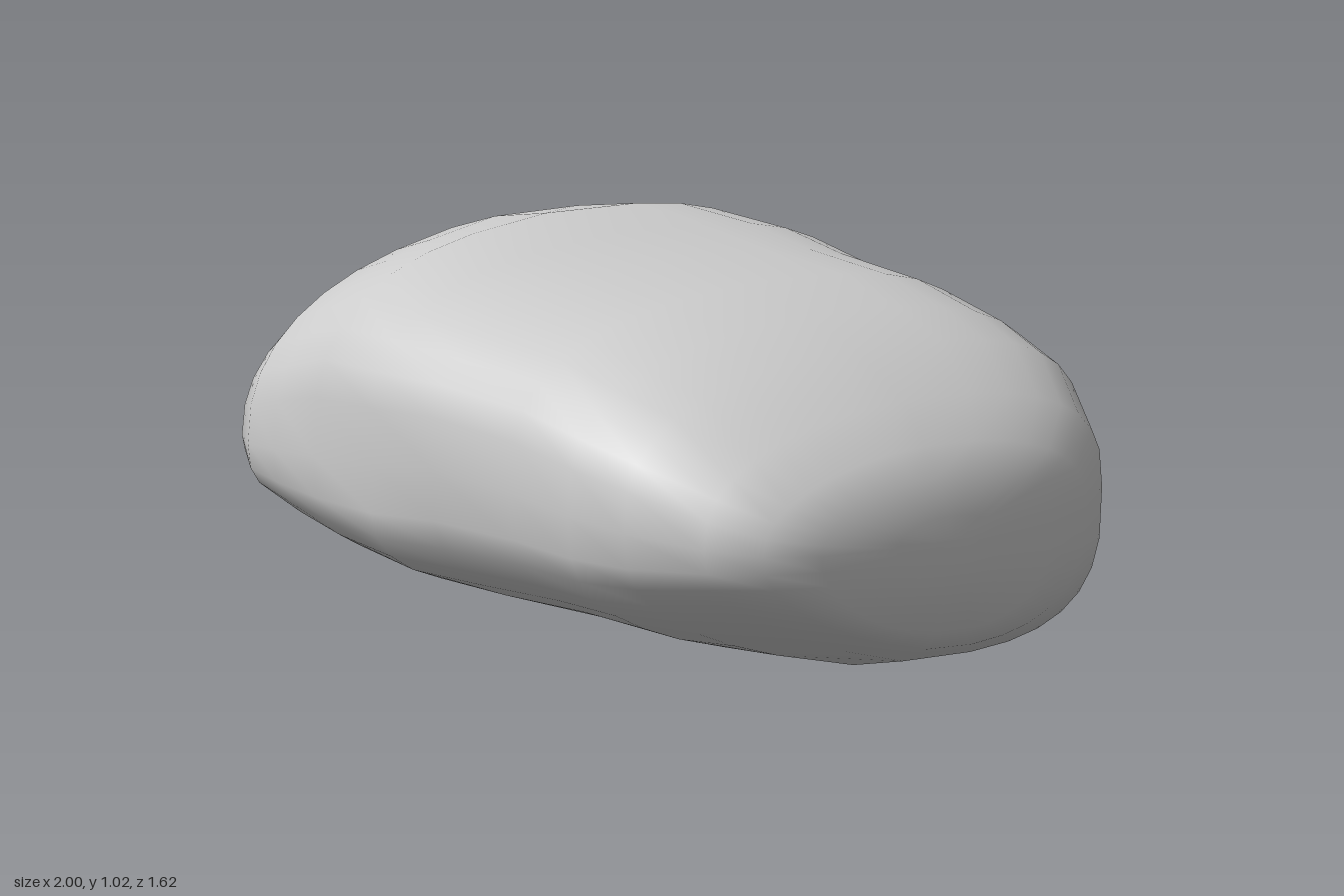
import * as THREE from 'three';
import { mergeVertices } from 'three/addons/utils/BufferGeometryUtils.js';

// Cross-sections along x: [x, back z, front z, bottom y, top y]
const STATIONS = [
  [-1.0, -0.02, 0.15, 0.64, 0.69],
  [-0.975, -0.23, 0.56, 0.49, 0.79],
  [-0.92, -0.46, 0.7, 0.35, 0.89],
  [-0.84, -0.6, 0.75, 0.26, 0.97],
  [-0.72, -0.7, 0.77, 0.22, 1.0],
  [-0.55, -0.76, 0.79, 0.17, 1.02],
  [-0.32, -0.8, 0.82, 0.13, 0.99],
  [-0.1, -0.79, 0.79, 0.09, 0.95],
  [0.2, -0.79, 0.79, 0.05, 0.92],
  [0.42, -0.79, 0.79, 0.01, 0.86],
  [0.6, -0.76, 0.76, 0.0, 0.8],
  [0.8, -0.65, 0.67, 0.03, 0.69],
  [0.91, -0.5, 0.57, 0.07, 0.59],
  [0.97, -0.34, 0.43, 0.12, 0.52],
  [0.995, -0.14, 0.2, 0.25, 0.42],
  [1.0, -0.04, 0.08, 0.3, 0.36],
];
const SIDES = 32;

const power = (v, e) => Math.sign(v) * Math.abs(v) ** e;
const bump = (dx, dy, r) => Math.exp(-(dx * dx + dy * dy) / (r * r));

// One point on the rounded-box section, with the tilt and dents of the stone
function surfacePoint([x, back, front, bottom, top], angle) {
  const c = Math.cos(angle), s = Math.sin(angle);
  // squarer at the back and below, rounder toward both ends
  const square = (c < 0 ? 3.5 : s > 0 ? 2.9 : 3.1) - (x > 0 ? 1.2 : 0.8) * x ** 4;
  const p = power(c, 2 / square);
  const q = power(s, 2 / square);
  const ridge = THREE.MathUtils.clamp(0.52 - 0.16 * x, bottom, top);
  let z = (back + front) / 2 + (p * (front - back)) / 2;
  let y = ridge + q * (q > 0 ? top - ridge : ridge - bottom);

  const ahead = Math.max(0, z);
  const toRight = Math.max(0, -x);
  const fade = 1 - x ** 12;
  if (q > 0) {
    // the top drops toward the front, most at the -x corner
    y -= q * ahead * (0.08 + 0.38 * Math.max(0, toRight - 0.5)) * fade;
  } else {
    // the underside rises at the +x front and slightly at the -x back
    const lift = ahead * Math.max(0, 0.05 + 0.2 * x) + toRight * 0.04 * (0.6 - z);
    y -= q * lift * fade;
  }
  // the widest line sinks toward the front corners and rises at the back
  y -= (1 - Math.abs(q)) * (z > 0 ? z * (0.03 + 0.25 * toRight) : z * 0.03);

  // a small hollow in the front; a lump and a shallow hollow on the back
  if (p > 0) z -= 0.035 * p * bump(x + 0.37, y - 0.48, 0.13);
  else z += p * (0.03 * bump(x + 0.3, y - 0.8, 0.2) - 0.02 * bump(x - 0.1, y - 0.6, 0.22));
  return [x, y, z];
}

function stoneGeometry() {
  const positions = [];
  const indices = [];
  for (const station of STATIONS) {
    for (let j = 0; j < SIDES; j++) {
      positions.push(...surfacePoint(station, (j / SIDES) * Math.PI * 2));
    }
  }
  for (let i = 0; i < STATIONS.length - 1; i++) {
    for (let j = 0; j < SIDES; j++) {
      const k = (j + 1) % SIDES;
      const a = i * SIDES + j, b = a + SIDES;
      const c = i * SIDES + k, d = c + SIDES;
      indices.push(a, b, c, b, d, c);
    }
  }
  // close both ends
  const last = (STATIONS.length - 1) * SIDES;
  for (let j = 1; j < SIDES - 1; j++) {
    indices.push(0, j, j + 1, last, last + j + 1, last + j);
  }
  const geometry = new THREE.BufferGeometry();
  geometry.setAttribute('position', new THREE.Float32BufferAttribute(positions, 3));
  geometry.setIndex(indices);
  const merged = mergeVertices(geometry, 1e-4);
  // stand on the ground, centred in depth
  merged.computeBoundingBox();
  const { min, max } = merged.boundingBox;
  merged.translate(0, -min.y, -(min.z + max.z) / 2);
  merged.computeVertexNormals();
  return merged;
}

export function createModel() {
  const model = new THREE.Group();
  model.name = 'rock';
  const stone = new THREE.Mesh(
    stoneGeometry(),
    new THREE.MeshStandardMaterial({ color: 0xcccccc })
  );
  stone.name = 'stone';
  model.add(stone);
  return model;
}
